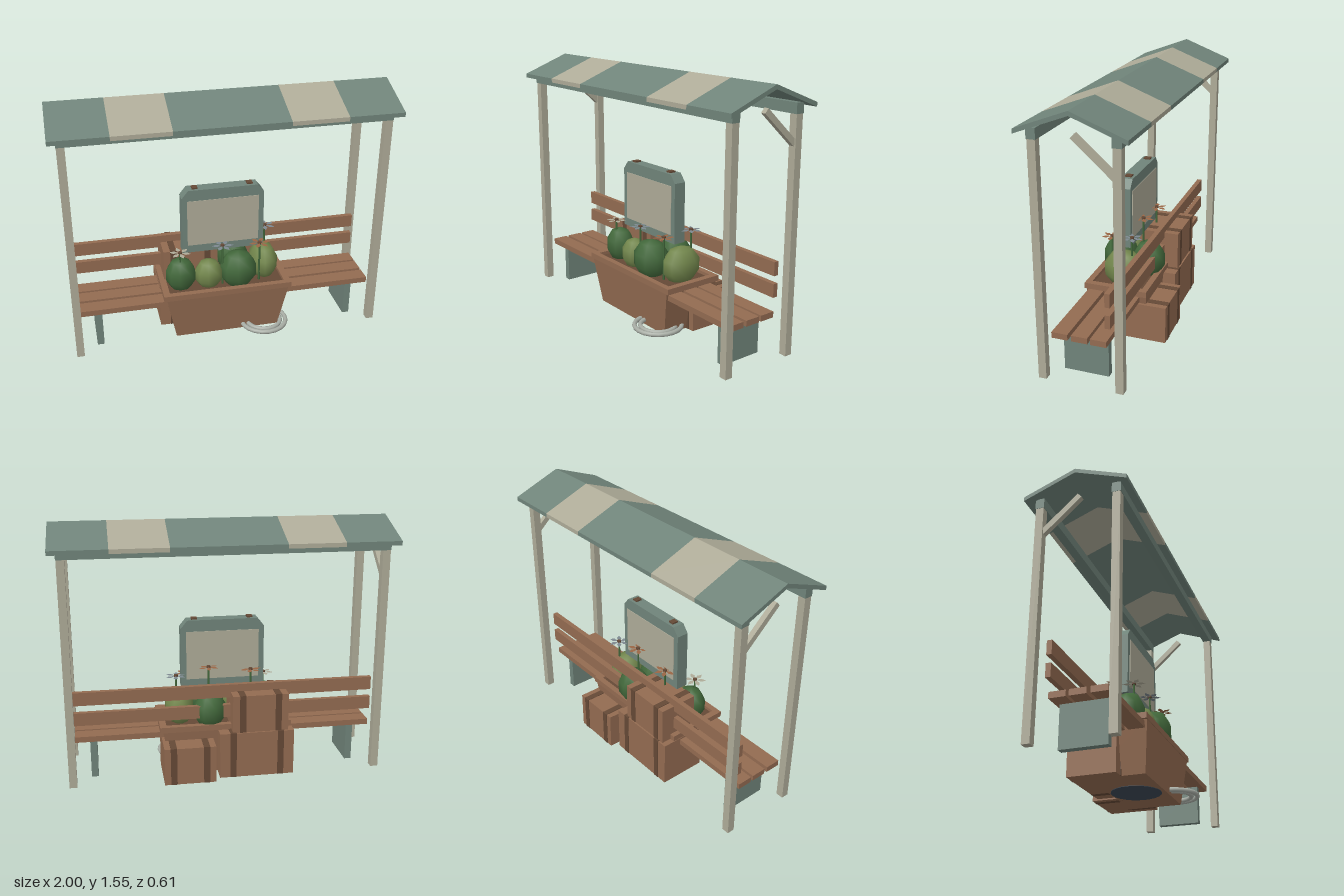
import * as THREE from 'three';

const mat = (name, color, side = THREE.FrontSide) => {
  const m = new THREE.MeshStandardMaterial({ color, side });
  m.name = name;
  return m;
};

export function createModel() {
  const root = new THREE.Group();
  root.name = 'gardenShelter';
  const green = mat('sage green', 0x70847a);
  const cream = mat('weathered cream', 0xaeab98);
  const wood = mat('warm wood', 0x936b51);
  const strap = mat('dark wood', 0x654936);
  const leafDark = mat('dark leaf', 0x42683b);
  const leafLight = mat('olive leaf', 0x72864c);
  const hoseGrey = mat('hose grey', 0xa9aea6);
  const steel = mat('dark steel', 0x3c4854);
  const petalSlate = mat('slate petal', 0x7d8890, THREE.DoubleSide);
  const petalRust = mat('rust petal', 0x9a6645, THREE.DoubleSide);

  const add = (name, geo, material, x = 0, y = 0, z = 0, parent = root) => {
    const m = new THREE.Mesh(geo, material);
    m.name = name;
    m.position.set(x, y, z);
    parent.add(m);
    return m;
  };
  // Box given by its minimum and maximum on each axis
  const box = (name, material, x0, x1, y0, y1, z0, z1, parent = root) =>
    add(name, new THREE.BoxGeometry(x1 - x0, y1 - y0, z1 - z0), material,
      (x0 + x1) / 2, (y0 + y1) / 2, (z0 + z1) / 2, parent);
  const polygon = (pts) => new THREE.Shape(pts.map(([x, y]) => new THREE.Vector2(x, y)));

  // Striped gable roof
  const gable = polygon([[-0.3, 1.405], [0, 1.52], [0.3, 1.405], [0.3, 1.43], [0, 1.545], [-0.3, 1.43]]);
  const edges = [-1, -0.67, -0.333, 0.333, 0.667, 1];
  for (let i = 0; i < 5; i++) {
    const g = new THREE.ExtrudeGeometry(gable, { depth: edges[i + 1] - edges[i], bevelEnabled: false });
    g.rotateY(Math.PI / 2);
    add('roofStripe', g, i % 2 ? cream : green, edges[i]);
  }

  // Posts, eave beams and diagonal braces
  for (const s of [-1, 1]) {
    box('eaveBeam', green, -0.955, 0.955, 1.37, 1.43, s * 0.225 - 0.026, s * 0.225 + 0.026);
    for (const t of [-1, 1]) {
      box('post', cream, s * 0.93 - 0.023, s * 0.93 + 0.023, 0, 1.37, t * 0.225 - 0.023, t * 0.225 + 0.023);
    }
    const brace = add('brace', new THREE.BoxGeometry(0.03, 0.034, 0.29), cream, s * 0.93, 1.31, -0.1);
    brace.rotation.x = -0.73;
  }

  // Bench
  const bench = new THREE.Group();
  bench.name = 'bench';
  root.add(bench);
  for (const z of [0.135, 0.02, -0.09]) {
    box('seatSlat', wood, -0.91, 0.91, 0.24, 0.275, z - 0.047, z + 0.047, bench);
  }
  for (const [y0, y1] of [[0.357, 0.436], [0.483, 0.564]]) {
    box('backSlat', wood, -0.91, 0.91, y0, y1, -0.16, -0.13, bench);
  }
  for (const s of [-1, 1]) box('benchLeg', green, s * 0.8 - 0.021, s * 0.8 + 0.021, 0, 0.24, -0.115, 0.15, bench);

  // Strapped crates stacked behind the bench
  const crate = (x0, x1, y0, y1, z0, z1) => {
    const g = new THREE.Group();
    g.name = 'crate';
    root.add(g);
    box('crateBody', wood, x0, x1, y0, y1, z0, z1, g);
    for (const s of [-1, 1]) {
      const x = (x0 + x1) / 2 + s * (x1 - x0) * 0.32;
      box('crateStrap', strap, x - 0.019, x + 0.019, y0, y1 + 0.003, z0 - 0.003, z1 + 0.003, g);
    }
  };
  crate(-0.405, 0.05, 0, 0.285, -0.257, 0.03);
  crate(0.08, 0.39, 0, 0.23, -0.302, 0.0);
  crate(-0.37, -0.03, 0.285, 0.517, -0.247, 0.0);

  // Tapered planter with a raised rim
  const planter = new THREE.Group();
  planter.name = 'planter';
  planter.position.z = 0.008;
  root.add(planter);
  const bodyGeo = new THREE.BoxGeometry(0.77, 0.29, 0.38);
  const p = bodyGeo.attributes.position;
  for (let i = 0; i < p.count; i++) {
    if (p.getY(i) < 0) p.setXYZ(i, p.getX(i) * 0.85, p.getY(i), p.getZ(i) * 0.84);
  }
  bodyGeo.computeVertexNormals();
  add('planterBody', bodyGeo, wood, 0, 0.145, 0, planter);
  for (const s of [-1, 1]) {
    box('rimLong', wood, -0.402, 0.402, 0.285, 0.32, s * 0.175 - 0.018, s * 0.175 + 0.018, planter);
    box('rimShort', wood, s * 0.382 - 0.02, s * 0.382 + 0.02, 0.285, 0.32, -0.157, 0.157, planter);
  }
  box('soil', strap, -0.362, 0.362, 0.285, 0.3, -0.157, 0.157, planter);
  // Round foot showing beneath the planter
  add('planterFoot', new THREE.CylinderGeometry(0.147, 0.147, 0.008, 24), steel, 0, 0.001, 0);

  // Shrubs: centre x, z, half sizes x, z, top height
  const shrubs = [
    [-0.275, 0.06, 0.094, 0.085, 0.5, leafDark],
    [-0.1, 0.07, 0.088, 0.08, 0.475, leafLight],
    [0.085, 0.083, 0.116, 0.105, 0.52, leafDark],
    [0.268, -0.003, 0.09, 0.125, 0.51, leafLight],
    [0.09, -0.1, 0.1, 0.1, 0.51, leafDark],
  ];
  for (const [x, z, rx, rz, top, material] of shrubs) {
    const ry = (top - 0.29) * 0.55;
    const m = add('shrub', new THREE.SphereGeometry(1, 9, 5), material, x, top - ry, z);
    m.scale.set(rx * 1.03, ry, rz * 1.03);
  }

  // Flowers with six flat pointed petals on thin stems
  const petal = new THREE.ShapeGeometry(polygon([[0.006, 0], [0.04, -0.015], [0.068, 0], [0.04, 0.015]]));
  petal.rotateX(-Math.PI / 2);
  const flowers = [
    [-0.28, 0.55, 0.085, cream], [-0.015, 0.573, 0.09, petalSlate], [0.22, 0.565, 0.09, petalRust],
    [0.29, 0.603, -0.06, petalSlate], [0.09, 0.65, -0.062, petalRust], [-0.17, 0.623, -0.062, petalRust],
  ];
  cream.side = THREE.DoubleSide;
  for (const [x, y, z, material] of flowers) {
    const f = new THREE.Group();
    f.name = 'flower';
    f.position.set(x, y, z);
    root.add(f);
    const h = y - 0.3;
    add('stem', new THREE.CylinderGeometry(0.006, 0.007, h, 6), leafDark, 0, -h / 2, 0, f);
    add('flowerCentre', new THREE.CylinderGeometry(0.013, 0.013, 0.012, 8), strap, 0, 0.002, 0, f);
    for (let i = 0; i < 6; i++) {
      const m = add('petal', petal, material, 0, 0, 0, f);
      m.rotation.y = i * Math.PI / 3 + x * 5;
    }
  }

  // Upright case with chamfered top corners and panels on both faces
  const caseGroup = new THREE.Group();
  caseGroup.name = 'case';
  root.add(caseGroup);
  const outline = polygon([[-0.255, 0.52], [0.255, 0.52], [0.255, 0.89], [0.215, 0.94], [-0.215, 0.94], [-0.255, 0.89]]);
  const caseGeo = new THREE.ExtrudeGeometry(outline, { depth: 0.076, bevelEnabled: false });
  add('caseBody', caseGeo, green, 0, 0, -0.038, caseGroup);
  for (const s of [-1, 1]) {
    add('casePanel', new THREE.BoxGeometry(0.445, 0.3, 0.005), cream, 0, 0.72, s * 0.039, caseGroup);
    add('caseLatch', new THREE.BoxGeometry(0.035, 0.012, 0.04), strap, s * 0.17, 0.943, 0, caseGroup);
  }

  // Coiled hose on the ground
  for (const [r, y] of [[0.143, 0.03], [0.108, 0.03]]) {
    const ring = new THREE.TorusGeometry(r, 0.014, 8, 20);
    ring.rotateX(Math.PI / 2);
    add('hoseCoil', ring, hoseGrey, 0.24, y, 0.148);
  }
  return root;
}
